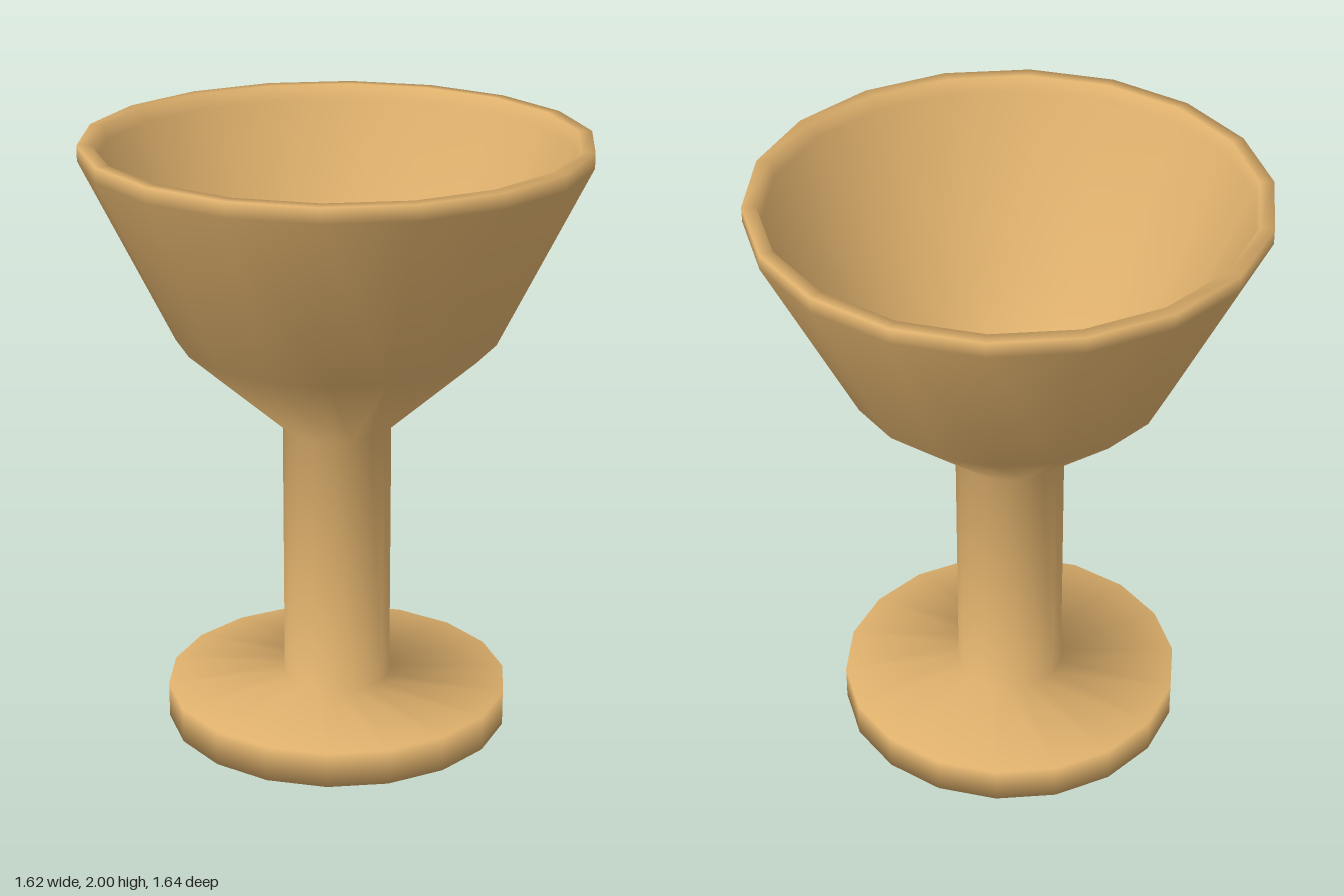
import * as THREE from 'three';

const SIDES = 18;

export function createModel() {
  const group = new THREE.Group();
  group.name = 'goblet';

  // Profile sections as [radius, height], running from the underside up and into the cup
  const foot = [[0, 0], [0.575, 0], [0.575, 0.12]];
  const stem = [[0.18, 0.145], [0.18, 1.04]];
  const bowlOutside = [[0.525, 1.35], [0.82, 1.95]];
  const rim = [[0.82, 2], [0.775, 2]];
  const bowlInside = [[0.765, 1.95], [0.475, 1.37], [0.15, 1.08], [0, 1.08]];

  const profile = [...foot, ...stem, ...bowlOutside, ...rim, ...bowlInside]
    .map(([r, y]) => new THREE.Vector2(r, y));

  // One continuous turned body with smooth shading
  const body = new THREE.Mesh(
    new THREE.LatheGeometry(profile, SIDES),
    new THREE.MeshStandardMaterial({ color: 0xdeb06c })
  );
  body.name = 'turnedBody';
  group.add(body);

  return group;
}
